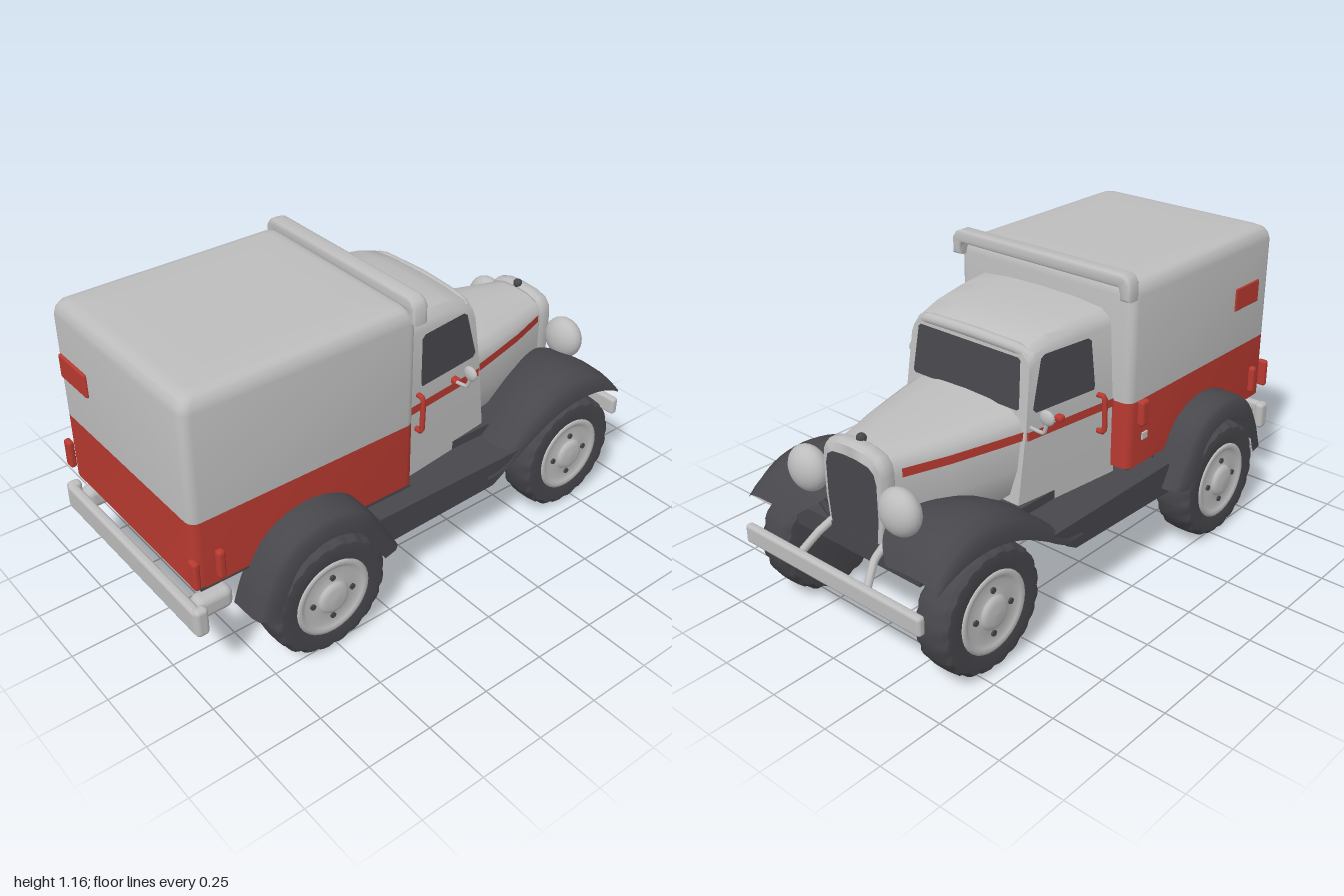
import * as THREE from 'three';
import { toCreasedNormals } from 'three/addons/utils/BufferGeometryUtils.js';
import { RoundedBoxGeometry } from 'three/addons/geometries/RoundedBoxGeometry.js';

const mat = (name, color, side = THREE.FrontSide) =>
  Object.assign(new THREE.MeshStandardMaterial({ color, side }), { name });

export function createModel() {
  const root = new THREE.Group();
  const grey = mat('pale grey paint', 0xbdbdbd);
  const dark = mat('charcoal', 0x47474c, THREE.DoubleSide);
  const red = mat('red paint', 0xb83a30, THREE.DoubleSide);
  const V = (x, y, z) => new THREE.Vector3(x, y, z);
  const add = (name, geo, m, x = 0, y = 0, z = 0) => {
    const mesh = new THREE.Mesh(geo, m);
    mesh.name = name;
    mesh.position.set(x, y, z);
    root.add(mesh);
    return mesh;
  };
  const box = (name, m, w, h, d, x, y, z) =>
    add(name, new RoundedBoxGeometry(w, h, d, 3, Math.min(w, h, d) * 0.4), m, x, y, z);
  const tube = (name, m, r, pts, seg = 8) => add(name, new THREE.TubeGeometry(
    new THREE.CatmullRomCurve3(pts, false, 'catmullrom', 0.2), pts.length * 4, r, seg), m);
  const outline = (pts) => new THREE.Shape(pts.map(([a, b]) => new THREE.Vector2(a, b)));

  // Skin over a row of point loops; closed solids are capped and turned outward
  const loft = (rows, closed = true, crease = 0.6) => {
    const n = rows[0].length, p = rows.flat(), idx = [];
    for (let i = 0; i < rows.length - 1; i++)
      for (let j = 0; j < (closed ? n : n - 1); j++) {
        const a = i * n + j, b = i * n + (j + 1) % n;
        idx.push(a, b, a + n, b, b + n, a + n);
      }
    if (closed) [0, rows.length - 1].forEach((r) => {
      const c = rows[r].reduce((s, v) => s.add(v), V(0, 0, 0)).divideScalar(n);
      const k = p.push(c) - 1;
      for (let j = 0; j < n; j++) {
        const a = r * n + j, b = r * n + (j + 1) % n;
        if (r) idx.push(a, b, k); else idx.push(b, a, k);
      }
    });
    let vol = 0;
    for (let i = 0; i < idx.length; i += 3)
      vol += p[idx[i]].dot(V(0, 0, 0).crossVectors(p[idx[i + 1]], p[idx[i + 2]]));
    if (closed && vol < 0) idx.reverse();
    const g = new THREE.BufferGeometry().setFromPoints(p);
    g.setIndex(idx);
    return toCreasedNormals(g, crease);
  };
  // Symmetric cross-section from half points [z, y], bottom to top centre
  const section = (half, xAt) => [
    ...half.map(([z, y]) => V(xAt(y), y, z)),
    ...half.slice(0, -1).reverse().map(([z, y]) => V(xAt(y), y, -z))];
  // Flat outline mapped onto a surface
  const plate = (name, m, pts, map) => {
    const g = new THREE.ShapeGeometry(outline(pts));
    const p = g.attributes.position;
    for (let i = 0; i < p.count; i++) p.setXYZ(i, ...map(p.getX(i), p.getY(i)));
    g.computeVertexNormals();
    return add(name, g, m);
  };

  // Cargo box: rounded plan outline lofted upward
  const plan = (y, inset) => {
    const r = 0.035, out = [];
    for (let c = 0; c < 4; c++) for (let k = 0; k <= 4; k++) {
      const a = (c + k / 4) * Math.PI / 2;
      const sx = c === 0 || c === 3 ? 1 : -1, sz = c < 2 ? 1 : -1;
      out.push(V(-0.515 + sx * (0.45 - inset - r) + r * Math.cos(a), y,
        -0.005 + sz * (0.405 - inset - r) + r * Math.sin(a)));
    }
    return out;
  };
  add('cargoBoxLower', loft([plan(0.42, 0), plan(0.68, 0)]), red);
  add('cargoBoxUpper', loft([[0.68, 0], [1.075, 0], [1.098, 0.005], [1.118, 0.017], [1.128, 0.035],
    [1.131, 0.06], [1.131, 0.2]].map(([y, i]) => plan(y, i))), grey);
  // Raised lip arching over the front of the box
  const arch = [[0.401, 1.08], [0.401, 1.13], [0.39, 1.146], [0.372, 1.154]];
  const inner = [[0.365, 1.125], [0.376, 1.115], [0.38, 1.08]];
  const mirrored = (pts) => pts.map(([z, y]) => [-z, y]).reverse();
  const lip = new THREE.ExtrudeGeometry(outline([...arch, ...mirrored(arch), ...mirrored(inner), ...inner]),
    { depth: 0.03, bevelSize: 0.011, bevelThickness: 0.016, bevelSegments: 4 });
  add('cargoBoxLip', toCreasedNormals(lip.rotateY(Math.PI / 2), 0.7), grey, -0.079, 0, 0);

  // Cab
  const cabZ = (x, y) => 0.335 - 0.06 * Math.max(0, y - 0.7) - 0.12 * (x + 0.08);
  const cabFront = (y) => 0.31 + (0.95 - y) * 0.13;
  add('cab', loft([[0, 1.03], [0.4, 1.025], [0.75, 1.01], [0.93, 0.99], [1, 0.968]].map(([f, t]) => {
    const xAt = (y) => -0.08 + (cabFront(y) + 0.08) * f;
    const w = (y) => cabZ(xAt(y), y);
    const half = [[w(0.38), 0.38], [w(0.7), 0.7], [w(t - 0.07), t - 0.07], [w(t) * 0.975, t - 0.04],
      [w(t) * 0.88, t - 0.016], [w(t) * 0.5, t - 0.004], [0, t]];
    return section(half, xAt);
  })), grey);
  tube('visor', grey, 0.021, [V(0.285, 0.94, 0.25), V(0.293, 0.957, 0.21), V(0.298, 0.964, 0),
    V(0.293, 0.957, -0.21), V(0.285, 0.94, -0.25)], 12);
  plate('windshield', dark, [[-0.25, 0.765], [-0.24, 0.757], [0.24, 0.757], [0.25, 0.765],
    [0.238, 0.93], [0.228, 0.938], [-0.228, 0.938], [-0.238, 0.93]],
    (a, y) => [cabFront(y) + 0.006, y, -a]);

  // Hood and radiator shell: [x, half width, bottom, top]
  const hood = [[0.3, 0.275, 0.37, 0.77], [0.45, 0.243, 0.37, 0.76], [0.62, 0.2, 0.37, 0.75],
    [0.81, 0.138, 0.36, 0.74]];
  const hoodShape = [[0.6, 0], [0.92, 0.2], [1, 0.45], [1, 0.8], [0.95, 0.89], [0.8, 0.95], [0.45, 0.99], [0, 1]];
  const shellRows = [[0.805, 0.138, 0.35, 0.748], [0.82, 0.143, 0.35, 0.757],
    [0.85, 0.143, 0.35, 0.755], [0.864, 0.136, 0.355, 0.744]];
  const ribs = (rows) => loft(rows.map(([x, w, b, t]) =>
    section(hoodShape.map(([u, v]) => [u * w, b + v * (t - b)]), () => x)), true, 0.9);
  add('hood', ribs(hood), grey);
  add('radiatorShell', ribs(shellRows), grey);
  const grille = [[0.05, 0.358], [0.085, 0.385], [0.112, 0.44], [0.12, 0.53], [0.12, 0.65], [0.11, 0.685],
    [0.085, 0.703], [0.03, 0.71]];
  plate('grille', dark, [...grille, ...mirrored(grille)], (a, y) => [0.869, y, -a]);
  add('radiatorCap', new THREE.SphereGeometry(0.018, 12, 8), dark, 0.815, 0.758, 0);

  // Underbody and running boards, extruded across the width
  const slab = (name, pts, w) => {
    const g = new THREE.ExtrudeGeometry(outline(pts), { depth: 2 * w, bevelEnabled: false });
    add(name, toCreasedNormals(g.translate(0, 0, -w), 0.5), dark);
  };
  slab('underbody', [[-0.95, 0.41], [-0.8, 0.38], [-0.25, 0.27], [0.28, 0.28], [0.38, 0.315], [0.48, 0.345],
    [0.62, 0.36], [0.87, 0.35], [0.87, 0.43], [0.3, 0.42], [-0.95, 0.425]], 0.3);
  slab('cargoFloor', [[-0.95, 0.412], [-0.08, 0.412], [-0.08, 0.424], [-0.95, 0.424]], 0.4);
  slab('runningBoards', [[-0.27, 0.265], [0.28, 0.28], [0.33, 0.31], [0.4, 0.385], [-0.26, 0.388]], 0.457);

  // Wheel, axis along y with its outer face up
  const wheel = (name, x, zOuter, h, s) => {
    const g = new THREE.Group();
    g.name = name;
    const prof = [[0, -h], [0.19, -h], [0.216, -h * 0.95], [0.229, -h * 0.76], [0.233, -h * 0.3], [0.233, h * 0.3],
      [0.229, h * 0.76], [0.216, h * 0.95], [0.19, h], [0.148, h * 0.92], [0.14, h * 0.5]];
    const tyre = new THREE.LatheGeometry(prof.map(([r, y]) => new THREE.Vector2(r, y)), 60);
    const p = tyre.attributes.position;
    for (let i = 0; i < p.count; i++) {
      const row = i % prof.length, notch = Math.floor(i / prof.length) % 3 === 0;
      if (notch && [2, 3, 6, 7].includes(row)) p.setXYZ(i, p.getX(i) * 0.965, p.getY(i), p.getZ(i) * 0.965);
    }
    const rim = new THREE.LatheGeometry([[0.152, h * 0.5], [0.15, h * 0.95], [0.138, h], [0.127, h * 0.95],
      [0.112, h * 0.84], [0.066, h * 0.88], [0.06, h * 0.97], [0.056, h + 0.005], [0.04, h + 0.011], [0, h + 0.013]]
      .map(([r, y]) => new THREE.Vector2(r, y)), 32);
    const part = (n, geo, m) => {
      const mesh = new THREE.Mesh(geo, m);
      mesh.name = n;
      g.add(mesh);
      return mesh;
    };
    part('tyre', toCreasedNormals(tyre, 0.6), dark);
    part('rim', rim, grey);
    for (let k = 0; k < 4; k++) {
      const a = k * Math.PI / 2;
      part('wheelNut', new THREE.CylinderGeometry(0.011, 0.011, 0.012, 8), dark)
        .position.set(0.083 * Math.cos(a), h * 0.88, 0.083 * Math.sin(a));
    }
    g.rotation.x = s * Math.PI / 2;
    g.position.set(x, 0.233, s * (zOuter - h));
    root.add(g);
  };

  const frontPath = new THREE.CatmullRomCurve3([[0.25, 0.34], [0.34, 0.38], [0.46, 0.48], [0.58, 0.555], [0.7, 0.582],
    [0.82, 0.56], [0.9, 0.505], [0.945, 0.445]].map(([x, y]) => V(x, y, 0)));
  const rearPath = new THREE.CatmullRomCurve3([[-0.82, 0.28], [-0.775, 0.4], [-0.69, 0.52], [-0.53, 0.574],
    [-0.37, 0.525], [-0.285, 0.41], [-0.22, 0.3]].map(([x, y]) => V(x, y, 0)));

  for (const s of [1, -1]) {
    wheel('frontWheel', 0.694, 0.458, 0.074, s);
    wheel('rearWheel', -0.521, 0.53, 0.078, s);

    // Front fender: crown swept forward, inner edge following the hood
    add('frontFender', loft(frontPath.getPoints(24).map((c, i) => {
      const edge = Math.max(0.14, 0.26 - (c.x - 0.3) * 0.24) + 8 * Math.max(0, c.x - 0.84) ** 2;
      const k = 0.2 + 0.8 * Math.sin(Math.PI * i / 24);
      return [[edge, -0.045], [edge + 0.06, -0.015], [0.33, 0], [0.4, -0.008], [0.44, -0.03], [0.457, -0.065],
        [0.46, -0.105]].map(([z, d]) => V(c.x, c.y + d * k, s * z));
    }), false, 1), dark);
    // Rear fender: arch with a rolled outer lip, and the wheel well behind it
    add('rearFender', loft(rearPath.getPoints(24).map((c) => {
      const d = V(-0.525 - c.x, 0.25 - c.y, 0).normalize();
      return [[0.38, 0], [0.48, 0.001], [0.513, 0.01], [0.527, 0.03], [0.531, 0.08]]
        .map(([z, k]) => V(c.x + d.x * k, c.y + d.y * k, s * z));
    }), false, 1), dark);
    plate('wheelWell', dark, rearPath.getPoints(24).map((c) => [c.x, c.y]), (x, y) => [x, y, s * 0.413]);

    // Door window, belt stripe and handle
    plate('doorWindow', dark, [[0.03, 0.75], [0.3, 0.75], [0.313, 0.765], [0.268, 0.933], [0.25, 0.945],
      [0.05, 0.945], [0.035, 0.933], [0.025, 0.765]], (x, y) => [x, y, s * (cabZ(x, y) + 0.005)]);
    const line = [[-0.065, cabZ(-0.065, 0.7)], [0.335, cabZ(0.335, 0.7)], [0.345, 0.268],
      ...hood.slice(1, 3).map(([x, w]) => [x, w]), [0.785, 0.146]];
    add('beltStripe', loft(line.map(([x, z]) => [V(x, 0.656, s * (z + 0.005)), V(x, 0.688, s * (z + 0.005))]), false), red);
    tube('doorHandle', red, 0.01, [V(0.01, 0.725, s * 0.325), V(0.008, 0.72, s * 0.355), V(0.006, 0.59, s * 0.355),
      V(0.006, 0.585, s * 0.325)]);
    box('doorLatch', red, 0.03, 0.025, 0.035, 0.2, 0.7, s * 0.31);

    // Wing mirror; the far one sits by the windshield
    const mx = s > 0 ? 0.2 : 0.33, mz = s > 0 ? 0.385 : 0.365;
    tube('mirrorArm', grey, 0.007, [V(mx - 0.01, 0.7, s * 0.28), V(mx, 0.705, s * (mz - 0.015)), V(mx, 0.75, s * mz)]);
    add('mirror', new THREE.SphereGeometry(0.031, 16, 10), grey, mx, 0.765, s * mz).scale.set(0.45, 0.9, 1);

    // Headlamp, its bracket and bumper irons
    add('headlamp', new THREE.SphereGeometry(0.083, 24, 16), grey, 0.865, 0.593, s * 0.22).scale.x = 0.68;
    tube('headlampBracket', dark, 0.014, [V(0.86, 0.53, s * 0.205), V(0.85, 0.47, s * 0.175), V(0.84, 0.41, s * 0.13)]);
    tube('frontBumperIron', grey, 0.014, [V(0.85, 0.43, s * 0.125), V(0.91, 0.4, s * 0.135), V(0.975, 0.33, s * 0.165)]);
    box('rearBumperIron', grey, 0.14, 0.085, 0.07, -0.895, 0.322, s * 0.365);
    box('rearBumperEnd', grey, 0.05, 0.11, 0.04, -0.972, 0.315, s * 0.42);

    // Tail and side marker lamps
    box('tailLamp', red, 0.025, 0.11, 0.04, -0.972, 0.503, s * 0.41);
    box('sideLamp', red, 0.03, 0.11, 0.03, -0.88, 0.505, s * 0.417);
  }

  // Bumpers with rounded edges
  box('frontBumper', grey, 0.032, 0.072, 0.85, 0.984, 0.318, 0);
  box('rearBumper', grey, 0.036, 0.1, 0.86, -0.982, 0.315, 0);

  // Red panels at the rear corner and the filler cap
  box('rearPanel', red, 0.016, 0.09, 0.18, -0.967, 0.885, -0.29);
  box('sidePanel', red, 0.16, 0.09, 0.012, -0.8, 0.885, -0.41);
  box('fillerCap', red, 0.045, 0.1, 0.03, -0.13, 0.635, -0.423);
  box('fillerPlate', grey, 0.035, 0.03, 0.008, -0.16, 0.53, -0.411);

  return root;
}
